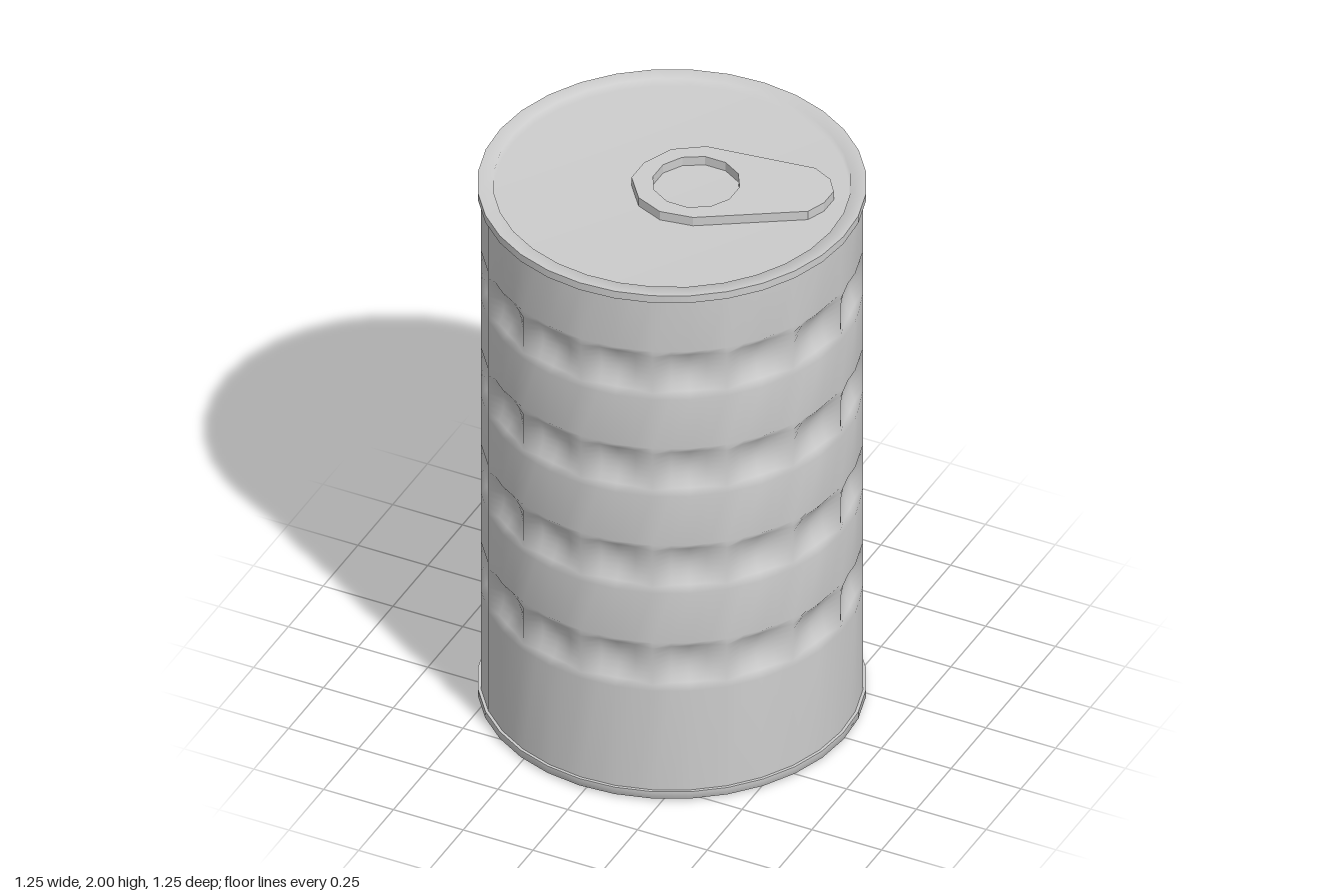
import * as THREE from 'three';

const SEG = 32;              // sides of the can
const OFFSET = -0.033;       // small turn of the whole can about its axis
const R = 0.615;

const metal = new THREE.MeshStandardMaterial({ color: 0xcccccc });
metal.name = 'brushed metal';

function add(group, name, geometry) {
  const mesh = new THREE.Mesh(geometry, metal);
  mesh.name = name;
  group.add(mesh);
  return mesh;
}

// Smooth ring or disc turned from [radius, y] points, listed from bottom to top on the outside
function turned(points) {
  return new THREE.LatheGeometry(points.map(p => new THREE.Vector2(...p)), SEG, OFFSET);
}

// Wall with four bands of sixteen pressed dimples
function wallGeometry() {
  const bands = [0.52, 0.905, 1.287, 1.67];
  const half = 0.095, steps = 8, cols = SEG * 2;
  const rows = [{ y: 0.02, v: 1 }];
  for (const c of bands) {
    for (let i = 0; i <= steps; i++) {
      const v = (i / steps) * 2 - 1;
      rows.push({ y: c + v * half, v });
    }
  }
  rows.push({ y: 1.98, v: 1 });

  const pos = [], index = [];
  rows.forEach(({ y, v }, j) => {
    for (let i = 0; i < cols; i++) {
      const a = OFFSET + (i / cols) * Math.PI * 2;
      const u = ((i % 4) / 4) * 2 - 1;
      const flat = i % 2 ? Math.cos(Math.PI / SEG) : 1;
      const r = R * flat - 0.04 * (1 - u * u) * (1 - v * v);
      pos.push(r * Math.sin(a), y, r * Math.cos(a));
      if (j === 0) continue;
      const n = (i + 1) % cols, lo = (j - 1) * cols, hi = j * cols;
      index.push(lo + i, lo + n, hi + n, lo + i, hi + n, hi + i);
    }
  });
  const g = new THREE.BufferGeometry();
  g.setAttribute('position', new THREE.Float32BufferAttribute(pos, 3));
  g.setIndex(index);
  g.computeVertexNormals();
  return g;
}

// Pull tab: tapered plate with a round finger hole, drawn in x and -z
function tabGeometry() {
  const outline = [
    [-0.125, -0.05], [-0.125, 0.04], [-0.055, 0.13], [0.04, 0.168], [0.15, 0.15],
    [0.465, -0.045], [0.49, -0.11], [0.49, -0.18], [0.45, -0.235], [0.38, -0.268],
    [0.015, -0.22], [-0.08, -0.155],
  ];
  const shape = new THREE.Shape(outline.map(([x, z]) => new THREE.Vector2(x, -z)));
  const hole = [];
  for (let i = 0; i < 12; i++) {
    const a = 0.26 - (i / 12) * Math.PI * 2;
    hole.push(new THREE.Vector2(0.072 + 0.142 * Math.cos(a), 0.03 + 0.142 * Math.sin(a)));
  }
  shape.holes.push(new THREE.Path(hole));
  const g = new THREE.ExtrudeGeometry(shape, { depth: 0.035, bevelEnabled: false });
  g.rotateX(-Math.PI / 2);
  return g;
}

export function createModel() {
  const can = new THREE.Group();
  can.name = 'drinkCan';

  add(can, 'dimpledWall', wallGeometry());

  // Top rim, running into the sunken lid
  add(can, 'topRimUnderside', turned([[R - 0.01, 1.965], [0.625, 1.965]]));
  add(can, 'topRimSide', turned([[0.625, 1.965], [0.625, 1.993]]));
  add(can, 'topRimAndLid', turned([[0.625, 1.993], [0.575, 1.993], [0.57, 1.967], [0, 1.967]]));
  add(can, 'pullTab', tabGeometry()).position.y = 1.965;

  // Bottom rim and base
  add(can, 'bottomRimUpperFace', turned([[0.625, 0.035], [R - 0.01, 0.035]]));
  add(can, 'bottomRimSide', turned([[0.61, 0], [0.625, 0.008], [0.625, 0.035]]));
  add(can, 'base', turned([[0, 0], [0.61, 0]]));

  return can;
}
